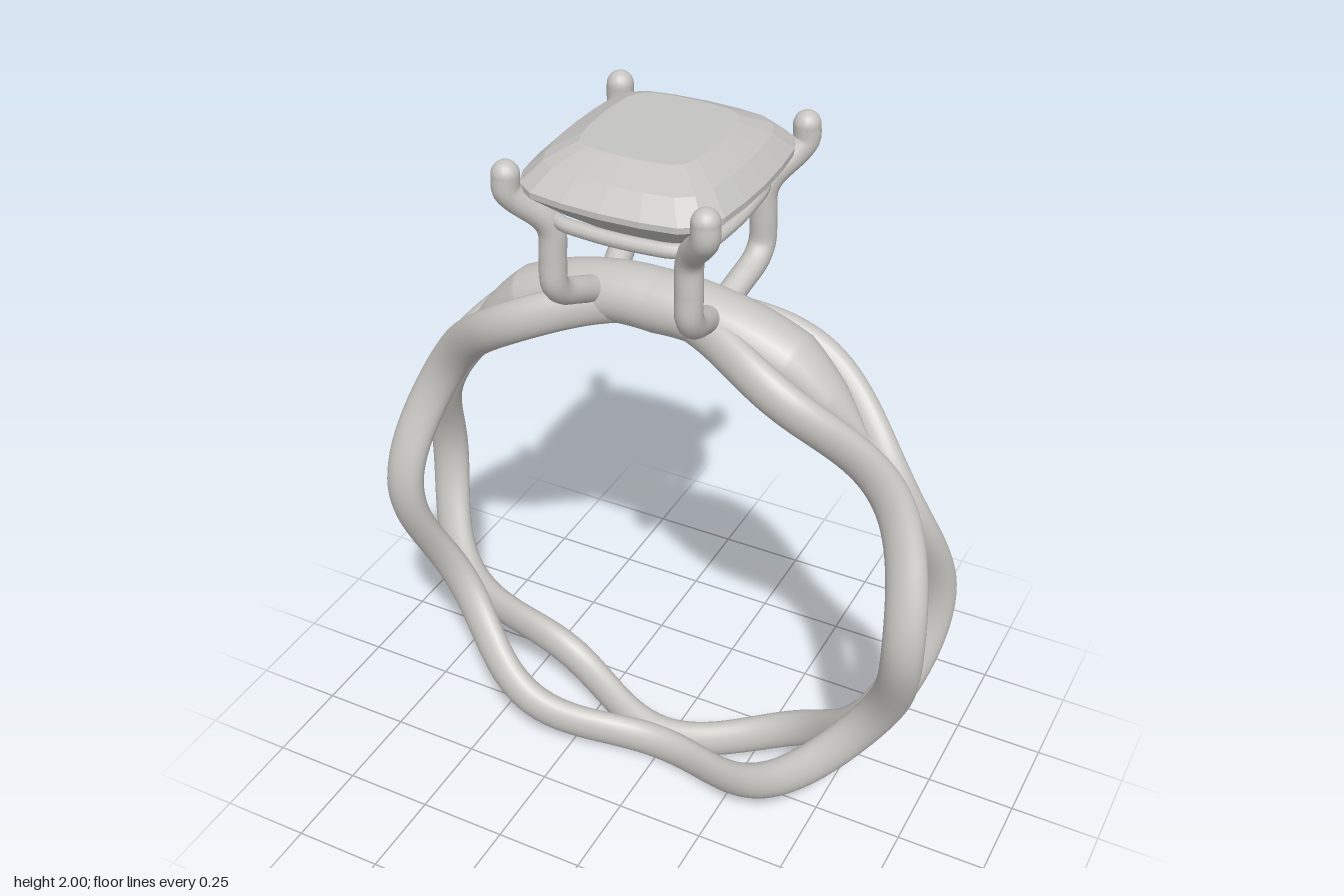
import * as THREE from 'three';
import { ParametricGeometry } from 'three/addons/geometries/ParametricGeometry.js';

const CY = 0.795; // centre height of the band
const rad = THREE.MathUtils.degToRad;

const metal = new THREE.MeshStandardMaterial({ color: 0xc8c6c2 });
metal.name = 'polished metal';
const stone = new THREE.MeshStandardMaterial({ color: 0xc4c3c1 });
stone.name = 'pale stone';

// Sweep an ellipse round the finger; section(deg) -> [radius, z, radial half, z half]
function bandSweep(from, to, section, slices) {
  return new ParametricGeometry((u, v, p) => {
    const deg = from + (to - from) * u, a = rad(deg), f = v * Math.PI * 2;
    const [r, z, hr, hz] = section(deg);
    const R = r + hr * Math.cos(f);
    p.set(R * Math.cos(a), CY + R * Math.sin(a), z + hz * Math.sin(f));
  }, slices, 24);
}

// Bridge stations: degrees from the top, mid radius, radial half, z half
const stations = [
  [0, 0.745, 0.08, 0.085],
  [28, 0.765, 0.07, 0.085],
  [38, 0.75, 0.05, 0.06],
  [49, 0.742, 0.015, 0.004],
];
function bridgeSection(deg) {
  const t = Math.min(Math.abs(deg - 90), 49);
  let i = 0;
  while (i < stations.length - 2 && t > stations[i + 1][0]) i++;
  const a = stations[i], b = stations[i + 1], k = (t - a[0]) / (b[0] - a[0]);
  const [r, hr, hz] = [1, 2, 3].map(n => THREE.MathUtils.lerp(a[n], b[n], k));
  return [r, 0, hr, hz];
}

// Cushion outline of the stone, mirrored from one quarter
const quarter = [[0.27, 0], [0.266, 0.1], [0.256, 0.19], [0.232, 0.25], [0.185, 0.282], [0.1, 0.295], [0, 0.3]];
const back = quarter.slice(0, 6).reverse();
const outline = [
  ...quarter,
  ...back.map(([x, z]) => [-x, z]),
  ...quarter.slice(1).map(([x, z]) => [-x, -z]),
  ...back.slice(0, 5).map(([x, z]) => [x, -z]),
];

// Faceted stone: the outline scaled at each height, flat normals
function stoneGeometry() {
  const levels = [[0, 1.68], [0.74, 1.84], [1, 1.905], [1, 1.92], [0.83, 1.965], [0.57, 2], [0, 2]];
  const pos = [];
  const n = outline.length;
  const pt = (i, j) => {
    const [s, y] = levels[i], [x, z] = outline[j % n];
    return [x * s, y, z * s];
  };
  for (let i = 0; i < levels.length - 1; i++) {
    for (let j = 0; j < n; j++) {
      const A = pt(i, j), B = pt(i + 1, j), C = pt(i + 1, j + 1), D = pt(i, j + 1);
      if (levels[i + 1][0] > 0) pos.push(...A, ...B, ...C);
      else pos.push(...A, ...B, ...D);
      if (levels[i][0] > 0 && levels[i + 1][0] > 0) pos.push(...A, ...C, ...D);
    }
  }
  const g = new THREE.BufferGeometry();
  g.setAttribute('position', new THREE.Float32BufferAttribute(pos, 3));
  g.computeVertexNormals();
  return g;
}

export function createModel() {
  const model = new THREE.Group();
  model.name = 'ring';
  const add = (name, geometry, material, parent = model) => {
    const mesh = new THREE.Mesh(geometry, material);
    mesh.name = name;
    parent.add(mesh);
    return mesh;
  };

  // Two wavy strands that meet every sixty degrees
  for (const s of [1, -1]) {
    const section = deg => [0.74, s * (0.068 + 0.048 * Math.cos(rad(6 * deg))), 0.055, 0.04];
    add(s > 0 ? 'frontStrand' : 'backStrand', bandSweep(0, 360, section, 180), metal);
  }

  // Solid bridge between the strands under the setting
  add('bridge', bandSweep(41, 139, bridgeSection, 98), metal);

  // Four bent prongs with rounded tips
  const R = 0.034;
  const path = [
    [0.155, 1.56, 0.05], [0.165, 1.585, 0.11], [0.175, 1.615, 0.175], [0.178, 1.65, 0.202],
    [0.178, 1.72, 0.204], [0.178, 1.79, 0.204], [0.19, 1.825, 0.216], [0.238, 1.885, 0.262],
    [0.251, 1.91, 0.275], [0.251, 1.948, 0.275],
  ];
  for (const sx of [1, -1]) for (const sz of [1, -1]) {
    const prong = new THREE.Group();
    prong.name = (sz > 0 ? 'front' : 'back') + (sx > 0 ? 'Left' : 'Right') + 'Prong';
    model.add(prong);
    const pts = path.map(([x, y, z]) => new THREE.Vector3(x * sx, y, z * sz));
    add('prongWire', new THREE.TubeGeometry(new THREE.CatmullRomCurve3(pts), 50, R, 14), metal, prong);
    for (const end of [pts[0], pts[pts.length - 1]]) {
      add('prongTip', new THREE.SphereGeometry(R, 16, 12), metal, prong).position.copy(end);
    }
  }

  // Thin rail joining the prongs below the stone
  const railPts = outline.map(([x, z]) => new THREE.Vector3(x * 0.77, 1.822, z * 0.77));
  const rail = new THREE.CatmullRomCurve3(railPts, true);
  add('galleryRail', new THREE.TubeGeometry(rail, 96, 0.018, 10, true), metal);

  add('stone', stoneGeometry(), stone);
  return model;
}
